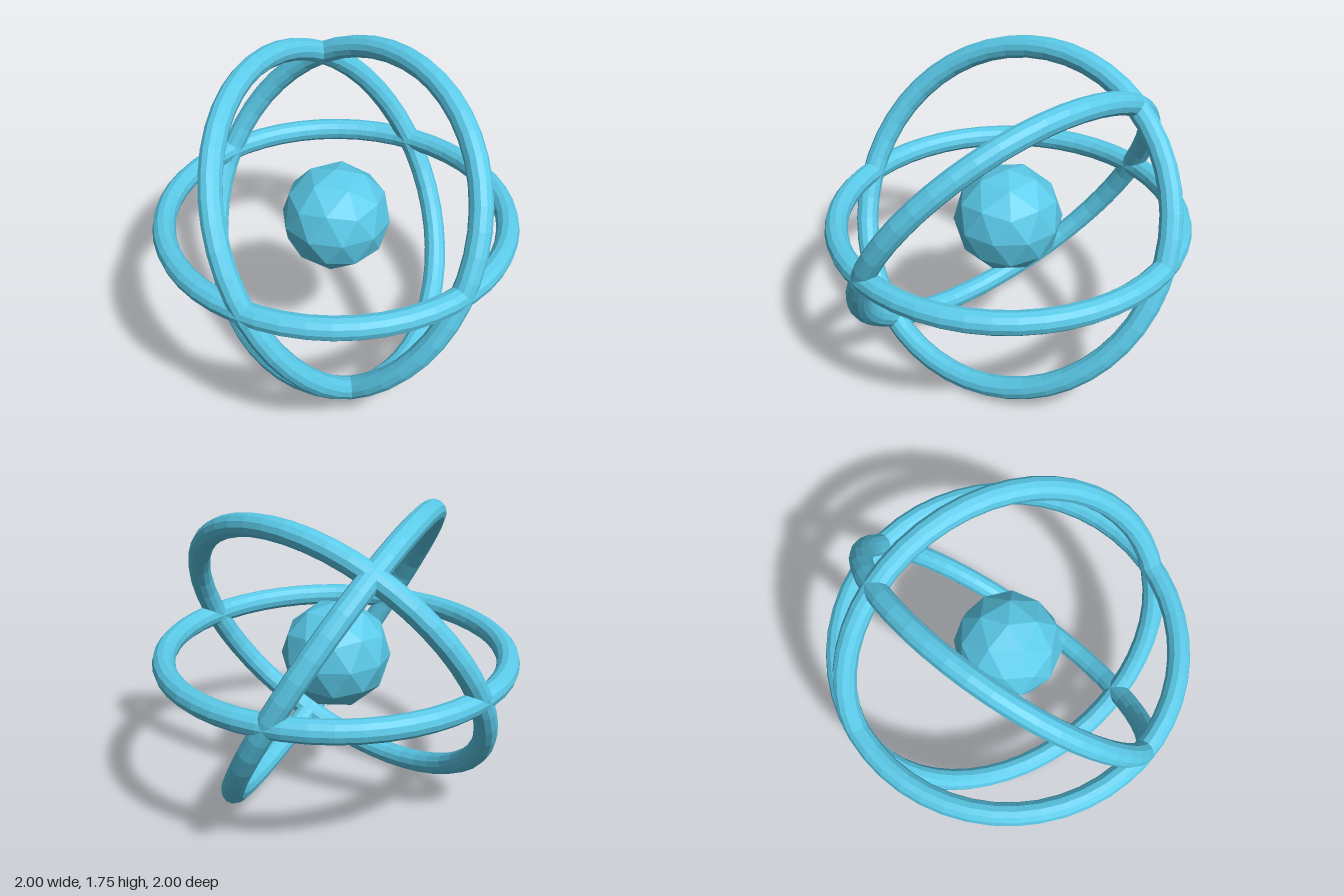
import * as THREE from 'three';

const CENTER_Y = 0.875;
const RING_RADIUS = 0.9375;
const TUBE_RADIUS = 0.0625;
const CORE_RADIUS = 0.3;

export function createModel() {
  const model = new THREE.Group();
  model.name = 'atom';
  const material = new THREE.MeshStandardMaterial({ color: 0x5bcbea, flatShading: true });

  const add = (name, geometry) => {
    const mesh = new THREE.Mesh(geometry, material);
    mesh.name = name;
    mesh.position.y = CENTER_Y;
    model.add(mesh);
    return mesh;
  };

  // Faceted nucleus, turned so that one vertex is the top pole
  const core = new THREE.IcosahedronGeometry(CORE_RADIUS, 1);
  core.rotateX(-Math.atan((1 + Math.sqrt(5)) / 2));
  core.rotateY(Math.PI / 2);
  add('nucleus', core);

  // One level orbit and a mirrored pair of tilted ones
  const ring = new THREE.TorusGeometry(RING_RADIUS, TUBE_RADIUS, 12, 48);
  const tilt = Math.PI / 4;
  add('levelOrbit', ring).rotation.x = Math.PI / 2;
  add('leftOrbit', ring).rotation.set(-tilt, tilt, 0);
  add('rightOrbit', ring).rotation.set(-tilt, -tilt, 0);

  return model;
}
